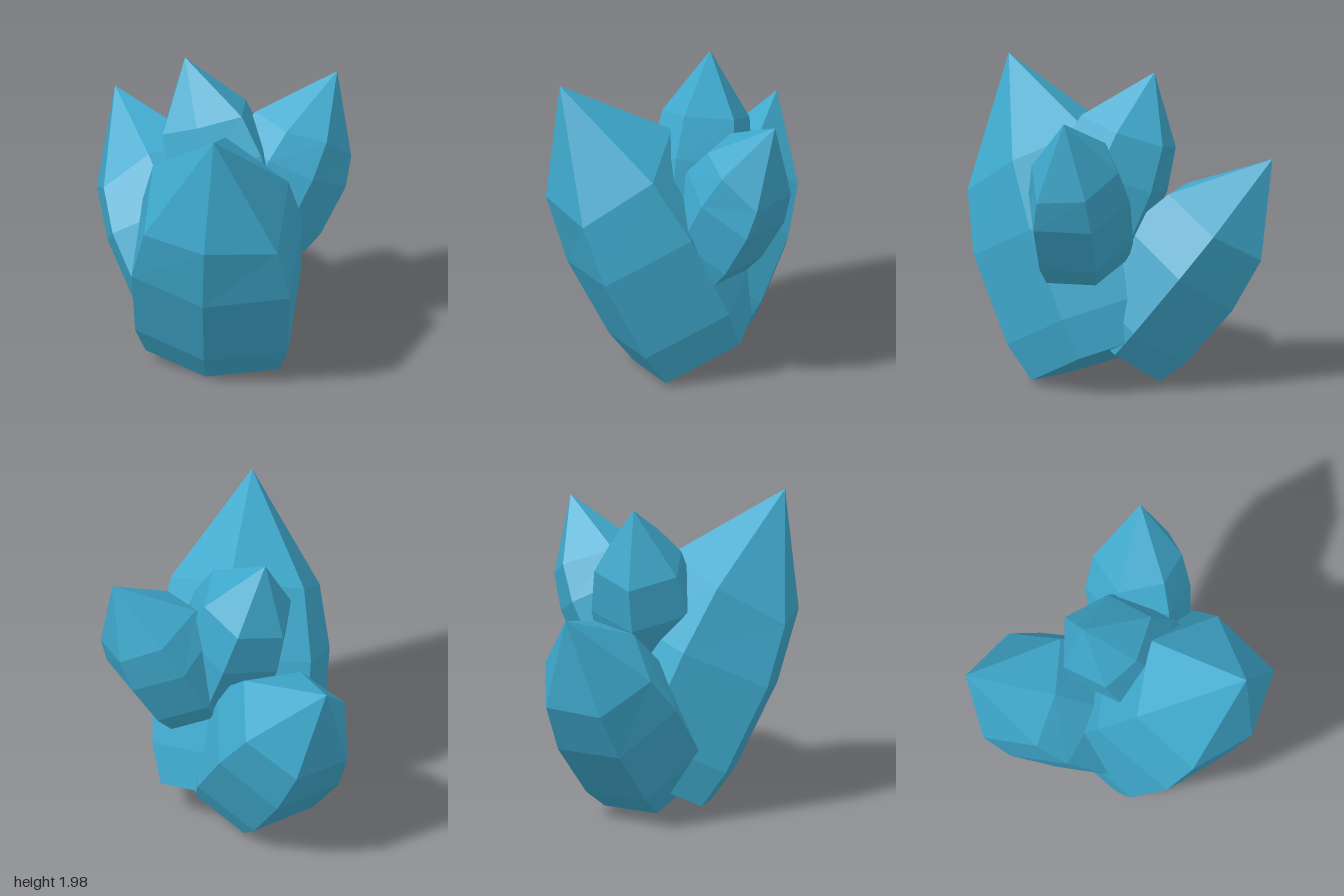
import * as THREE from 'three';

const material = new THREE.MeshStandardMaterial({ color: 0x3fa9cd, flatShading: true });
const SHOULDER = 0.6725; // where the point starts, as a share of the length
// lower rings: [share of the length, scale of the shoulder ring]
const LOWER_RINGS = [[0, 1], [0.13, 1.14], [0.43, 1.18]];

// Six-sided crystal from base centre to tip; shoulder corners run counterclockwise from above
function crystal(name, base, tip, shoulder) {
  const start = new THREE.Vector3(...base);
  const end = new THREE.Vector3(...tip);
  const axis = end.clone().sub(start).normalize();
  const centre = start.clone().lerp(end, SHOULDER);
  const corners = shoulder.map((p) => new THREE.Vector3(...p));

  // cross-sections: flat lower rings, then the slightly uneven shoulder
  const rings = LOWER_RINGS.map(([t, scale]) => corners.map((c) =>
    c.clone().sub(centre).projectOnPlane(axis).multiplyScalar(scale)
      .add(start.clone().lerp(end, t))));
  rings.push(corners);

  const positions = [];
  const triangle = (...points) => points.forEach((p) => positions.push(p.x, p.y, p.z));
  const n = corners.length;
  for (let i = 0; i < n; i++) {
    const j = (i + 1) % n;
    triangle(start, rings[0][j], rings[0][i]); // bottom
    for (let k = 0; k < rings.length - 1; k++) { // sides
      const low = rings[k], high = rings[k + 1];
      triangle(low[i], low[j], high[j]);
      triangle(low[i], high[j], high[i]);
    }
    triangle(corners[i], corners[j], end); // point
  }
  const geometry = new THREE.BufferGeometry();
  geometry.setAttribute('position', new THREE.Float32BufferAttribute(positions, 3));
  geometry.computeVertexNormals();
  const mesh = new THREE.Mesh(geometry, material);
  mesh.name = name;
  return mesh;
}

export function createModel() {
  const group = new THREE.Group();
  group.name = 'crystalCluster';
  group.add(
    crystal('frontCrystal', [-0.04, 0.19, -0.05], [-0.04, 1.99, 0.82], [
      [-0.10, 1.22, 0.89], [0.36, 1.18, 0.80], [0.42, 1.45, 0.36],
      [0.02, 1.62, 0.10], [-0.43, 1.50, 0.25], [-0.48, 1.24, 0.68],
    ]),
    crystal('backCrystal', [-0.11, 0.27, -0.07], [-0.69, 1.46, -0.83], [
      [-0.80, 0.84, -0.64], [-0.75, 1.03, -0.29], [-0.47, 1.26, -0.31],
      [-0.13, 1.27, -0.46], [-0.18, 1.04, -0.80], [-0.51, 0.85, -0.90],
    ]),
    crystal('leftCrystal', [0.23, 0.87, -0.045], [0.71, 1.85, -0.35], [
      [0.65, 1.36, -0.475], [0.38, 1.50, -0.505], [0.20, 1.62, -0.23],
      [0.40, 1.60, -0.01], [0.65, 1.52, -0.02], [0.80, 1.33, -0.20],
    ]),
    crystal('middleCrystal', [0.12, 0.89, 0.03], [-0.24, 2.0, -0.24], [
      [-0.375, 1.58, 0.0], [-0.16, 1.68, 0.10], [0.12, 1.74, 0.05],
      [0.14, 1.68, -0.27], [-0.09, 1.58, -0.45], [-0.36, 1.51, -0.31],
    ]),
  );
  return group;
}
